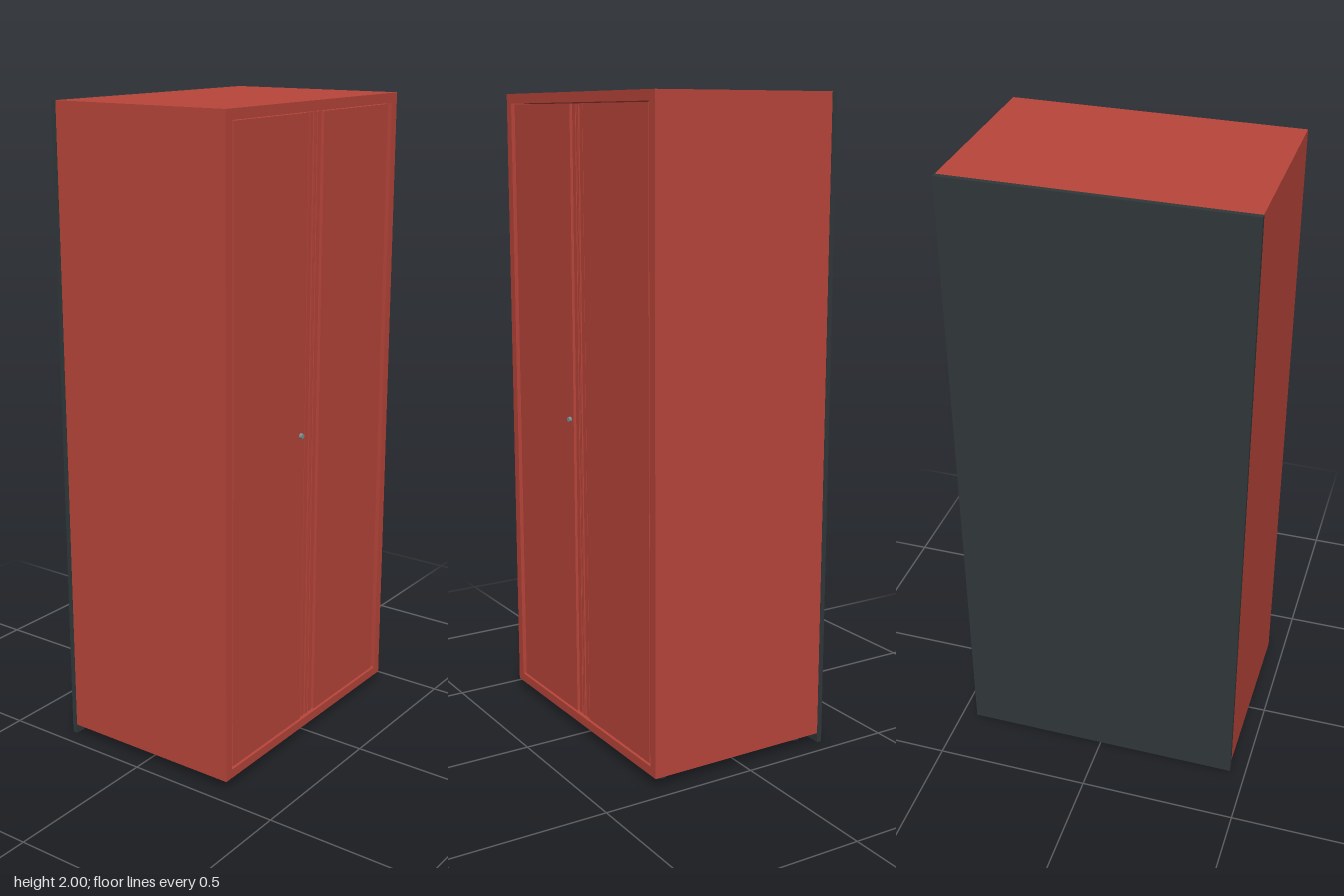
import * as THREE from 'three';

const red = new THREE.MeshStandardMaterial({ color: 0xb8453a });
const dark = new THREE.MeshStandardMaterial({ color: 0x30383a });
const steel = new THREE.MeshStandardMaterial({ color: 0x7f9090 });

function add(parent, name, geometry, material, x = 0, y = 0, z = 0) {
  const mesh = new THREE.Mesh(geometry, material);
  mesh.name = name;
  mesh.position.set(x, y, z);
  parent.add(mesh);
  return mesh;
}

function rectangle(PathType, w, y0, y1) {
  const p = new PathType();
  p.moveTo(-w, y0);
  p.lineTo(w, y0);
  p.lineTo(w, y1);
  p.lineTo(-w, y1);
  p.closePath();
  return p;
}

export function createModel() {
  const group = new THREE.Group();
  group.name = 'cabinet';

  // Carcass: a tube of sides, top and bottom, open towards the doors
  const ring = rectangle(THREE.Shape, 0.449, 0.03, 2);
  ring.holes.push(rectangle(THREE.Path, 0.419, 0.058, 1.97));
  const carcass = new THREE.ExtrudeGeometry(ring, { depth: 0.597, bevelEnabled: false });
  carcass.rotateY(Math.PI / 2);
  add(group, 'carcass', carcass, red, -0.292);

  // Back panel, reaching down to the floor
  add(group, 'backPanel', new THREE.BoxGeometry(0.016, 2, 0.9), dark, -0.3, 1, 0);

  // Doors: plan section (x, z) with a hinge flange, flat panel, pull channel and centre lip
  const section = [
    [0.27, 0.417], [0.29, 0.417], [0.29, 0.408], [0.299, 0.406],
    [0.299, 0.04], [0.282, 0.038], [0.282, 0.033], [0.295, 0.031],
    [0.295, 0.013], [0.284, 0.011], [0.284, 0.008], [0.296, 0.007],
    [0.296, 0.001], [0.27, 0.001],
  ];
  for (const s of [1, -1]) {
    const shape = new THREE.Shape(section.map(([x, z]) => new THREE.Vector2(x, -z * s)));
    const door = new THREE.ExtrudeGeometry(shape, { depth: 1.906, bevelEnabled: false });
    door.rotateX(-Math.PI / 2);
    add(group, s > 0 ? 'leftDoor' : 'rightDoor', door, red, 0, 0.061, 0);
  }

  // Lock on one door
  const lock = new THREE.CylinderGeometry(0.008, 0.009, 0.012, 20);
  lock.rotateZ(-Math.PI / 2);
  add(group, 'lock', lock, steel, 0.301, 1.015, 0.06);

  // Four levelling feet: flared pad and threaded stem
  const foot = new THREE.LatheGeometry(
    [[0, 0], [0.02, 0], [0.02, 0.006], [0.012, 0.02], [0.008, 0.022], [0.008, 0.032], [0, 0.032]]
      .map(([r, y]) => new THREE.Vector2(r, y)), 20);
  for (const x of [-0.242, 0.252]) {
    for (const z of [-0.388, 0.388]) add(group, 'foot', foot, dark, x, 0, z);
  }

  return group;
}
